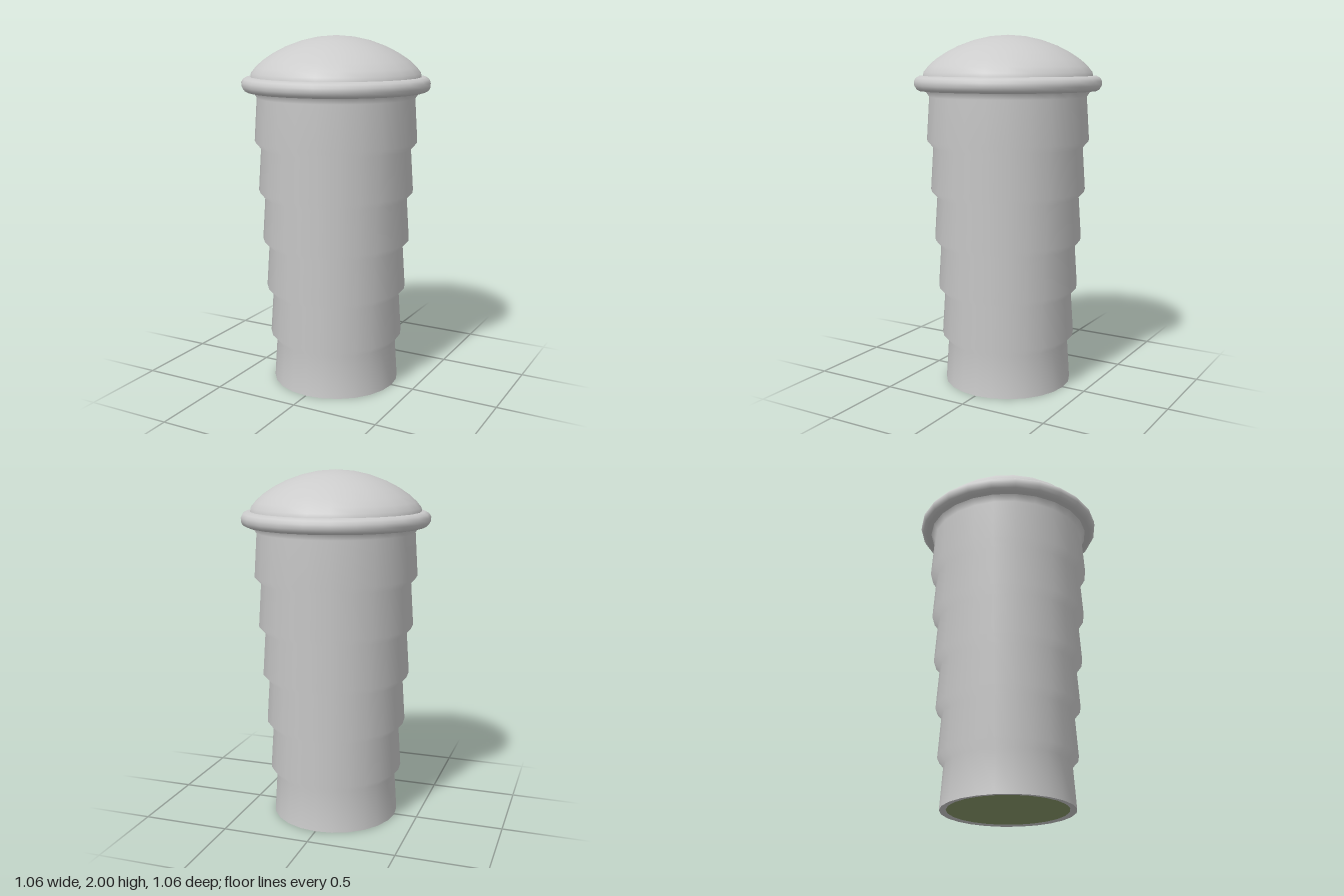
import * as THREE from 'three';

const SIDES = 24;

export function createModel() {
  const group = new THREE.Group();
  const grey = new THREE.MeshStandardMaterial({ color: 0xcccccc, side: THREE.DoubleSide });
  const green = new THREE.MeshStandardMaterial({ color: 0x8a9a6b });

  // Revolve a list of [radius, height] pairs, listed from bottom to top
  const turn = (name, profile) => {
    const points = profile.map(([r, y]) => new THREE.Vector2(r, y));
    const mesh = new THREE.Mesh(new THREE.LatheGeometry(points, SIDES), grey);
    mesh.name = name;
    group.add(mesh);
  };

  // Tapering shaft: six tiers, each narrowing upward then flaring into the next
  const shaft = [];
  for (let i = 0; i < 6; i++) {
    const y = i * 0.283;
    const r = 0.366 + i * 0.0192;
    shaft.push([r, y], [r - 0.016, y + 0.243]);
  }
  shaft.push([0.475, 1.7]);
  turn('shaft', shaft);

  // Thin rim and inset plate that close the foot
  turn('footRim', [[0.33, 0.004], [0.366, 0]]);
  const plate = new THREE.Mesh(new THREE.CircleGeometry(0.33, SIDES), green);
  plate.name = 'footPlate';
  plate.rotation.x = Math.PI / 2;
  plate.position.y = 0.004;
  group.add(plate);

  // Rounded collar under the dome
  turn('collar', [
    [0.44, 1.692], [0.5, 1.692], [0.519, 1.702], [0.53, 1.722], [0.53, 1.745],
    [0.519, 1.763], [0.5, 1.774], [0.47, 1.775],
  ]);

  // Shallow domed cap
  turn('dome', [
    [0.48, 1.77], [0.475, 1.795], [0.45, 1.826], [0.41, 1.863], [0.35, 1.903],
    [0.28, 1.939], [0.19, 1.972], [0.1, 1.992], [0, 2],
  ]);

  return group;
}
